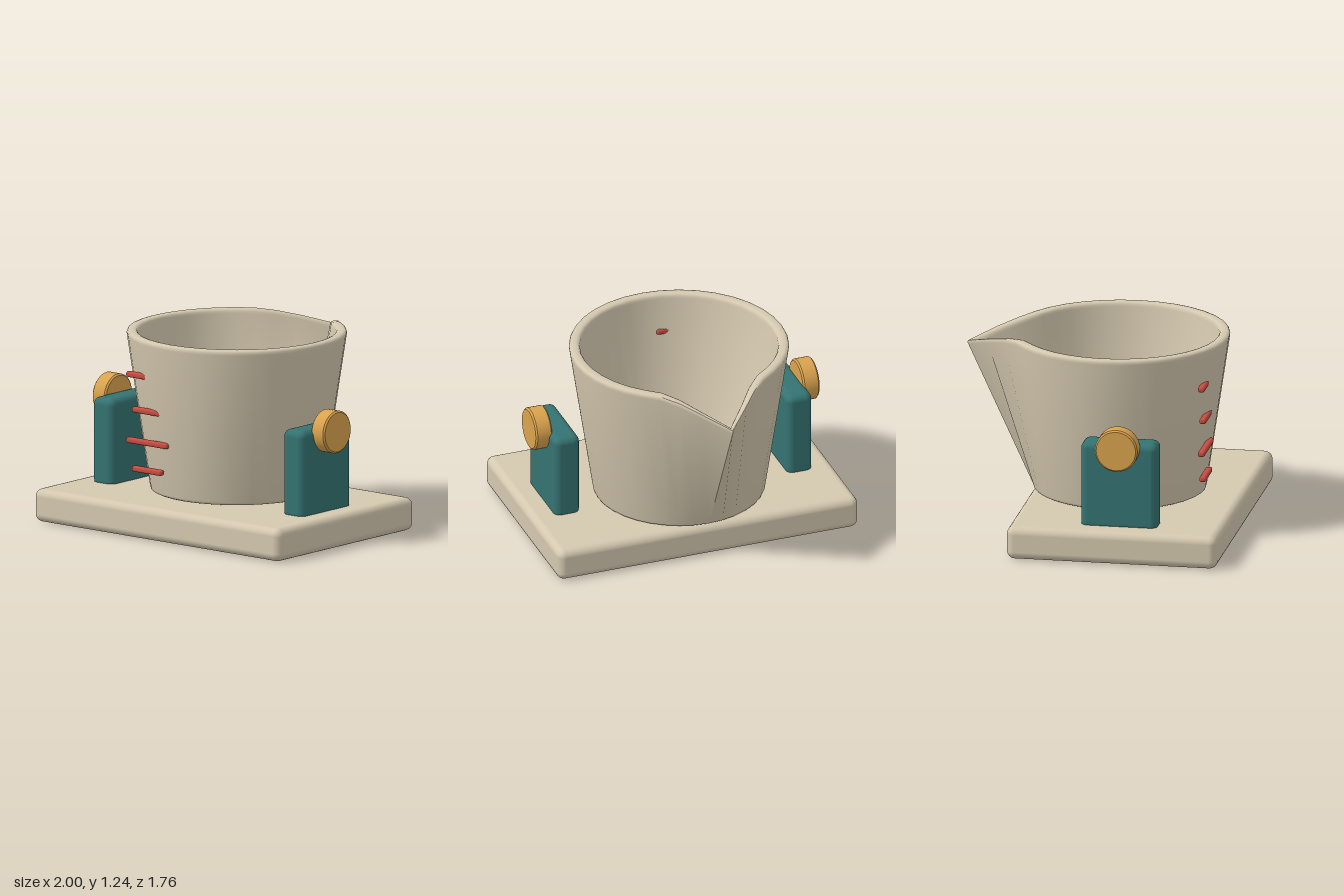
import * as THREE from 'three';
import { toCreasedNormals } from 'three/addons/utils/BufferGeometryUtils.js';
import { RoundedBoxGeometry } from 'three/addons/geometries/RoundedBoxGeometry.js';

const paint = (name, color) => {
  const m = new THREE.MeshStandardMaterial({ color });
  m.name = name;
  return m;
};

// Tapered cup: rings of a wall profile, pulled out and down into a spout at the back
function cupGeometry() {
  const segs = 36, top = 1.235;
  // radius, height, height where the spout starts, spout reach
  const outer = [[0, 0.22], [0.525, 0.22], [0.538, 0.227], [0.542, 0.24], [0.687, 1.205], [0.688, 1.22], [0.682, 1.231], [0.668, top]]
    .map(([r, y]) => [r, y, 0.22, 0.285]);
  const inner = [[0.642, top], [0.628, 1.231], [0.621, 1.22], [0.619, 1.205], [0.478, 0.32], [0.47, 0.3], [0.455, 0.288], [0.435, 0.285], [0, 0.285]]
    .map(([r, y]) => [r, y, 0.3, 0.305]);
  const profile = [...outer, ...inner];
  const pos = [], index = [];
  for (const [r, y, start, reach] of profile) {
    const rise = Math.max(0, (y - start) / (top - start));
    for (let j = 0; j < segs; j++) {
      const a = (j / segs) * Math.PI * 2;
      const off = Math.min(a, Math.PI * 2 - a);
      const pull = Math.max(0, 1 - off / 0.6) ** 2 * rise;
      const rad = r + reach * pull;
      pos.push(rad * Math.sin(a), y - 0.115 * pull, 0.09 - rad * Math.cos(a));
    }
  }
  for (let i = 0; i < profile.length - 1; i++) {
    for (let j = 0; j < segs; j++) {
      const k = (j + 1) % segs;
      const a = i * segs + j, b = i * segs + k, c = b + segs, d = a + segs;
      if (profile[i + 1][0] > 0) index.push(a, d, c);
      if (profile[i][0] > 0) index.push(a, c, b);
    }
  }
  const g = new THREE.BufferGeometry();
  g.setAttribute('position', new THREE.Float32BufferAttribute(pos, 3));
  g.setIndex(index);
  return toCreasedNormals(g, 0.85);
}

// Short disc with softened edges, lying along x
function knobGeometry() {
  const r = 0.135, h = 0.055, b = 0.01;
  const pts = [[0, -h], [r - b, -h], [r, -h + b], [r, h - b], [r - b, h], [0, h]].map(([x, y]) => new THREE.Vector2(x, y));
  const g = toCreasedNormals(new THREE.LatheGeometry(pts, 32), 0.6);
  return g.rotateZ(Math.PI / 2);
}

export function createModel() {
  const model = new THREE.Group();
  model.name = 'pouringCupOnStand';
  const stone = paint('warm beige', 0xd4c8af);
  const teal = paint('deep teal', 0x347372);
  const amber = paint('amber', 0xdaa34e);
  const red = paint('brick red', 0xc84c40);

  const add = (name, geometry, material, x, y, z) => {
    const mesh = new THREE.Mesh(geometry, material);
    mesh.name = name;
    mesh.position.set(x, y, z);
    model.add(mesh);
  };

  // Base slab and cup
  add('base', new RoundedBoxGeometry(2, 0.21, 1.335, 3, 0.05), stone, 0, 0.105, 0.215);
  add('cup', cupGeometry(), stone, 0, 0, 0);

  // Side supports with round knobs
  const support = new RoundedBoxGeometry(0.17, 0.57, 0.485, 3, 0.045);
  const knob = knobGeometry();
  for (const [side, s] of [['left', 1], ['right', -1]]) {
    add(side + 'Support', support, teal, s * 0.774, 0.465, 0.237);
    add(side + 'Knob', knob, amber, s * 0.89, 0.725, 0.237);
  }

  // Measuring marks, alternating short and long
  [0.393, 0.57, 0.77, 0.99].forEach((y, i) => {
    const length = i % 2 ? 0.335 : 0.24;
    add('measureMark' + (i + 1), new RoundedBoxGeometry(length, 0.037, 0.042, 2, 0.014), red, -0.232, y, 0.677);
  });

  return model;
}
